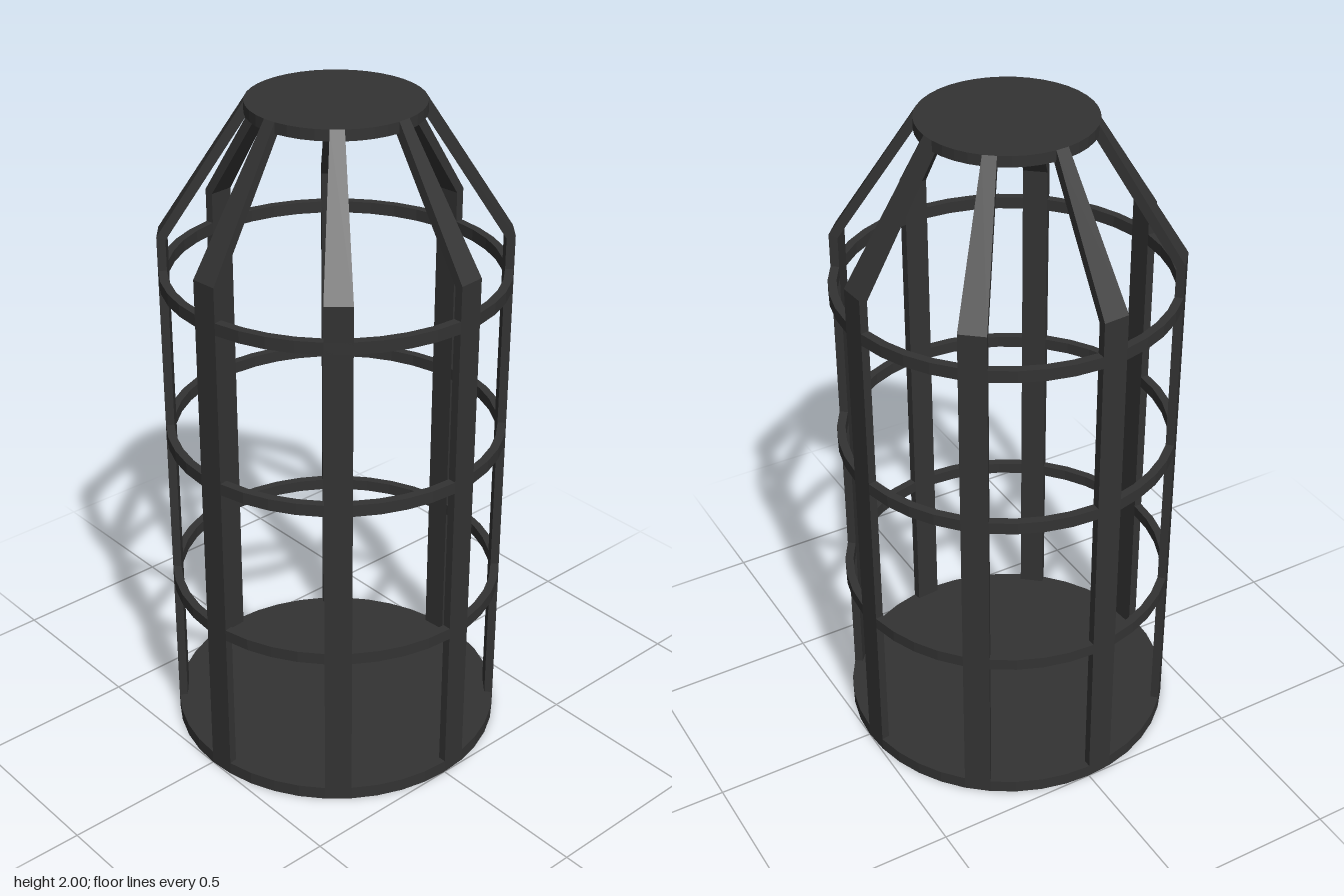
import * as THREE from 'three';

const SIDES = 40;
const STEP = (Math.PI * 2) / SIDES;
const R = 0.5, INNER = 0.475;

const toPoints = (list) => list.map(([r, y]) => new THREE.Vector2(r, y));

// One facet of a revolved (radius, height) profile, capped at both ends
function sectorGeometry(profile, start, length) {
  const points = toPoints(profile);
  const pos = [];
  const put = (p, phi) => pos.push(p.x * Math.sin(phi), p.y, p.x * Math.cos(phi));
  const end = start + length;
  points.forEach((p, i) => {
    const q = points[(i + 1) % points.length];
    put(p, start); put(p, end); put(q, start);
    put(q, start); put(p, end); put(q, end);
  });
  for (const [a, b, c] of THREE.ShapeUtils.triangulateShape(points, [])) {
    [a, b, c].forEach((k) => put(points[k], start));
    [c, b, a].forEach((k) => put(points[k], end));
  }
  const geometry = new THREE.BufferGeometry();
  geometry.setAttribute('position', new THREE.Float32BufferAttribute(pos, 3));
  geometry.computeVertexNormals();
  return geometry;
}

export function createModel() {
  const model = new THREE.Group();
  model.name = 'cage';
  const metal = new THREE.MeshStandardMaterial({ color: 0x333333, flatShading: true });
  const add = (name, geometry, y = 0) => {
    const mesh = new THREE.Mesh(geometry, metal);
    mesh.name = name;
    mesh.position.y = y;
    model.add(mesh);
  };

  // Floor and roof discs
  add('floorDisc', new THREE.CylinderGeometry(R, R, 0.04, SIDES), 0.02);
  add('roofDisc', new THREE.CylinderGeometry(0.25, 0.25, 0.032, SIDES), 1.984);

  // Flat hoops around the bars
  const h = 0.018;
  const hoop = toPoints([[INNER, -h], [R, -h], [R, h], [INNER, h], [INNER, -h]]);
  [0.511, 1.004, 1.496].forEach((y, i) => add(`hoop${i + 1}`, new THREE.LatheGeometry(hoop, SIDES), y));

  // Eight upright bars, each one facet wide, bending in to the roof
  const bar = [[INNER, 0.03], [R, 0.03], [R, 1.615], [0.25, 2], [0.225, 1.985], [INNER, 1.605]];
  for (let i = 0; i < 8; i++) {
    add(`bar${i + 1}`, sectorGeometry(bar, (i * Math.PI) / 4, STEP));
  }
  return model;
}
